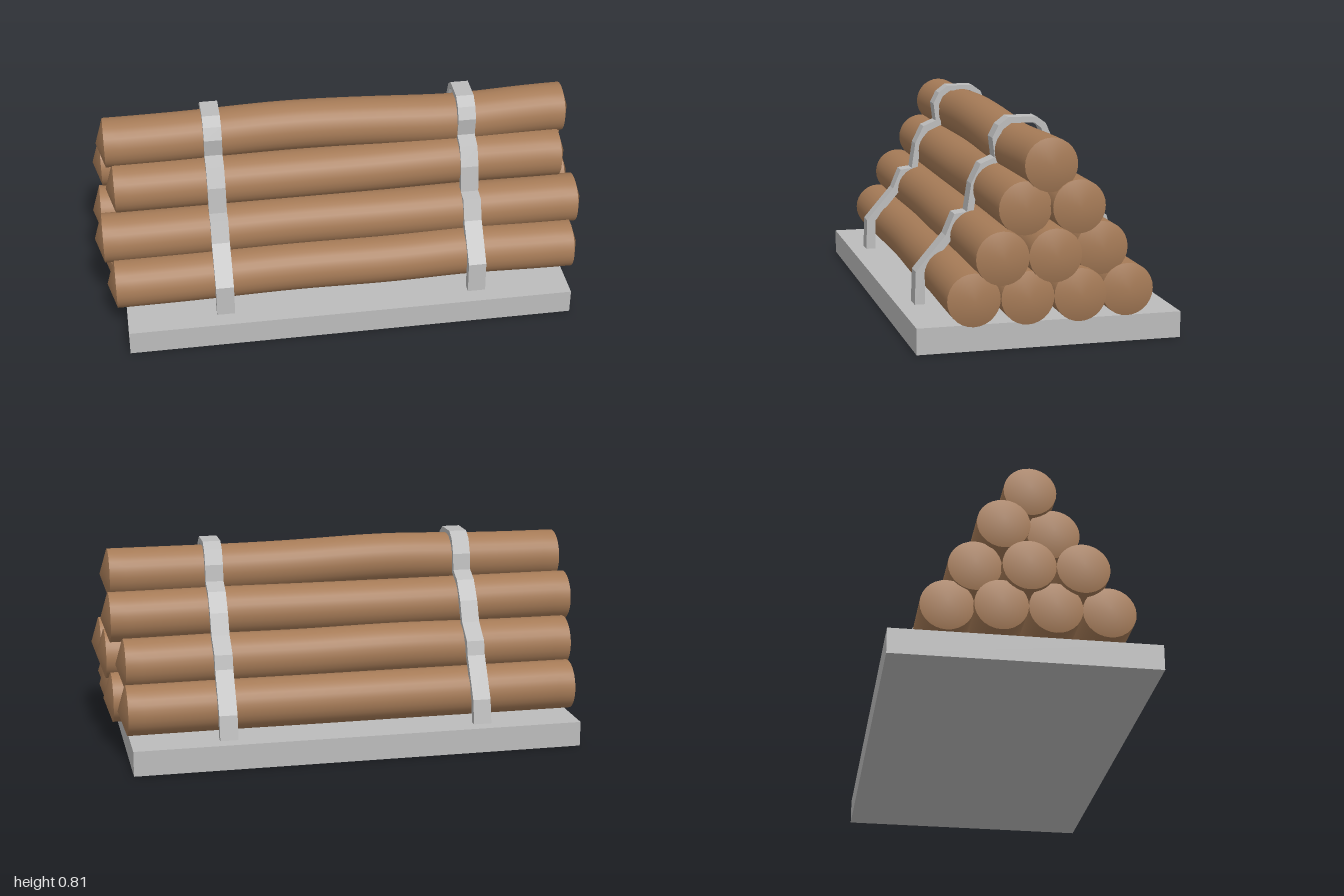
import * as THREE from 'three';
import { mergeVertices } from 'three/addons/utils/BufferGeometryUtils.js';

const wood = new THREE.MeshStandardMaterial({ color: 0xa67b57 });
wood.name = 'wood';
const metal = new THREE.MeshStandardMaterial({ color: 0xbcbcbc });
metal.name = 'metal';

const RADIUS = 0.1, CAP = 0.033;

// Rim ends x0/x1, axis height y and depth z, then bends [dy, dz] at x = -0.2 and x = 0.5
const LOGS = [
  [-0.93, 0.94, 0.2, 0.3, [0, -0.012], [0.012, 0.002]],
  [-0.94, 0.95, 0.2, 0.1, [0.004, 0.005], [0.01, 0.004]],
  [-0.94, 0.95, 0.2, -0.1, [0.008, 0.005], [0.006, 0.004]],
  [-0.91, 0.91, 0.2, -0.295, [0, 0.002], [0, 0.003]],
  [-0.965, 0.97, 0.356, 0.2, [0, -0.008], [0.002, 0]],
  [-0.965, 0.965, 0.356, 0, [0, 0], [0, 0]],
  [-0.92, 0.905, 0.362, -0.195, [0.01, -0.01], [0.002, 0.005]],
  [-0.905, 0.915, 0.525, 0.1, [0.002, 0.004], [0.012, 0.01]],
  [-0.95, 0.95, 0.53, -0.093, [0, -0.002], [0.002, 0]],
  [-0.93, 0.94, 0.686, 0.01, [0.014, 0], [-0.004, 0.016]],
];

function bump(x, centre, width) {
  return Math.exp(-(((x - centre) / width) ** 2));
}

function bentLog([x0, x1, y, z, a, b]) {
  const log = new THREE.Group();
  const length = x1 - x0, middle = (x0 + x1) / 2;
  const bend = (x, i) => a[i] * bump(x, -0.2, 0.33) + b[i] * bump(x, 0.5, 0.25);

  // Bark: an open cylinder along x, shifted sideways along its length
  const bark = new THREE.CylinderGeometry(RADIUS, RADIUS, length, 28, 28, true);
  bark.rotateZ(-Math.PI / 2).translate(middle, 0, 0);
  const p = bark.attributes.position;
  for (let i = 0; i < p.count; i++) {
    const x = p.getX(i);
    p.setXYZ(i, x, p.getY(i) + y + bend(x, 0), p.getZ(i) + z + bend(x, 1));
  }
  bark.deleteAttribute('uv');
  bark.deleteAttribute('normal');
  const smoothBark = mergeVertices(bark);
  smoothBark.computeVertexNormals();
  const barkMesh = new THREE.Mesh(smoothBark, wood);
  barkMesh.name = 'bark';
  log.add(barkMesh);

  // Shallow pointed ends
  for (const side of [-1, 1]) {
    const x = side < 0 ? x0 : x1;
    const cone = new THREE.ConeGeometry(RADIUS, CAP, 28, 1, true);
    cone.rotateZ(-side * Math.PI / 2);
    cone.translate(x + side * CAP / 2, y + bend(x, 0), z + bend(x, 1));
    cone.deleteAttribute('uv');
    cone.deleteAttribute('normal');
    const cap = mergeVertices(cone);
    cap.computeVertexNormals();
    const capMesh = new THREE.Mesh(cap, wood);
    capMesh.name = side < 0 ? 'rightEnd' : 'leftEnd';
    log.add(capMesh);
  }
  return log;
}

// Strap outline as [z, y], front foot to back foot
const OUTER = [
  [0.44, 0.1], [0.435, 0.228], [0.318, 0.364], [0.283, 0.446], [0.234, 0.452],
  [0.217, 0.56], [0.18, 0.635], [0.125, 0.658], [0.134, 0.733], [0.11, 0.78],
  [0.07, 0.81], [-0.04, 0.81], [-0.077, 0.783], [-0.102, 0.725], [-0.11, 0.66],
  [-0.165, 0.63], [-0.218, 0.555], [-0.253, 0.473], [-0.326, 0.412], [-0.34, 0.356],
  [-0.432, 0.196], [-0.45, 0.1],
];
const INNER = [
  [0.4, 0.1], [0.398, 0.225], [0.295, 0.345], [0.262, 0.425], [0.21, 0.435],
  [0.193, 0.55], [0.16, 0.612], [0.1, 0.638], [0.11, 0.725], [0.093, 0.763],
  [0.06, 0.787], [-0.03, 0.787], [-0.058, 0.765], [-0.08, 0.718], [-0.092, 0.645],
  [-0.152, 0.612], [-0.197, 0.542], [-0.235, 0.455], [-0.3, 0.4], [-0.315, 0.35],
  [-0.403, 0.19], [-0.42, 0.1],
];

function strapGeometry(width) {
  const outline = [...OUTER, ...[...INNER].reverse()].map(([z, y]) => new THREE.Vector2(z, y));
  const geometry = new THREE.ExtrudeGeometry(new THREE.Shape(outline), { depth: width, bevelEnabled: false });
  return geometry.translate(0, 0, -width / 2).rotateY(-Math.PI / 2);
}

export function createModel() {
  const model = new THREE.Group();
  model.name = 'logStack';

  // Base slab
  const base = new THREE.Mesh(new THREE.BoxGeometry(1.8, 0.1, 1.015), metal);
  base.name = 'base';
  base.position.set(0.005, 0.05, -0.001);
  model.add(base);

  // Pyramid of logs
  LOGS.forEach((spec, i) => {
    const log = bentLog(spec);
    log.name = `log${i + 1}`;
    model.add(log);
  });

  // Two straps over the stack
  const strap = strapGeometry(0.072);
  [['rightStrap', -0.502], ['leftStrap', 0.525]].forEach(([name, x]) => {
    const mesh = new THREE.Mesh(strap, metal);
    mesh.name = name;
    mesh.position.x = x;
    model.add(mesh);
  });
  return model;
}
